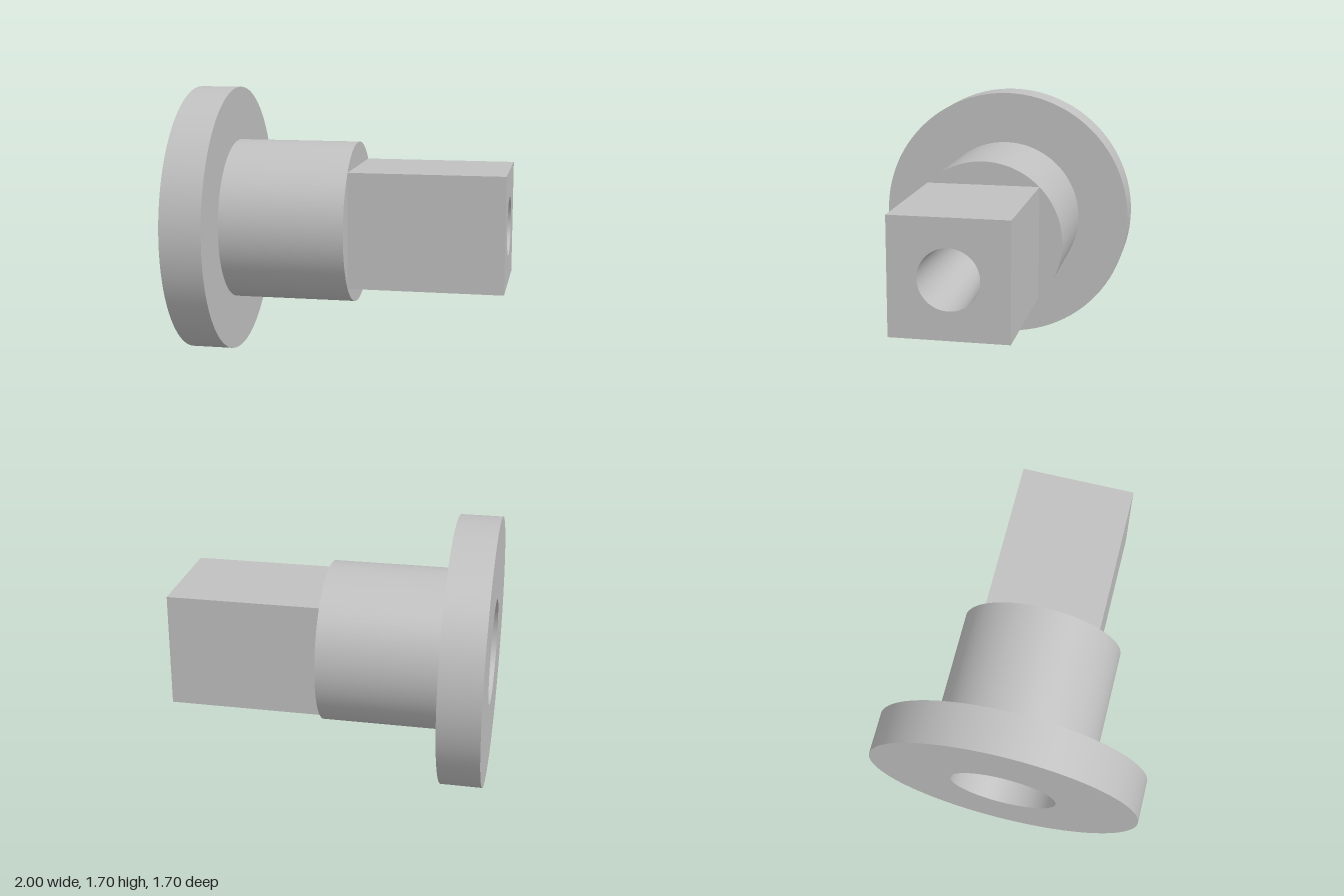
import * as THREE from 'three';

const steel = new THREE.MeshStandardMaterial({ color: 0xc0c0c0 });
steel.name = 'steel grey';

const AXIS_Y = 0.848;
const SQUARE = 0.361;      // half width of the square drive
const BORE_FRONT = 0.185;

// Revolves each [radius, x] segment separately so the edges between them stay sharp.
function turned(name, points) {
  const group = new THREE.Group();
  group.name = name;
  for (let i = 0; i < points.length - 1; i++) {
    const segment = [points[i], points[i + 1]].map(([r, x]) => new THREE.Vector2(r, x));
    const geometry = new THREE.LatheGeometry(segment, 96).rotateZ(-Math.PI / 2);
    const mesh = new THREE.Mesh(geometry, steel);
    mesh.name = `${name}Surface${i + 1}`;
    group.add(mesh);
  }
  return group;
}

export function createModel() {
  const model = new THREE.Group();
  model.name = 'flangedSquareShaft';
  model.position.y = AXIS_Y;

  // Wide flange, from the counterbore rim round to the root of the barrel
  model.add(turned('flange', [[0.333, -1], [0.848, -1], [0.848, -0.74], [0.51, -0.74]]));

  // Round barrel with the shoulder behind the square drive
  model.add(turned('barrel', [[0.51, -0.74], [0.51, 0.04], [0.3, 0.04]]));

  // Tapered through hole opening into a wide counterbore
  model.add(turned('bore', [[BORE_FRONT, 1], [0.135, -0.71], [0.333, -0.71], [0.333, -1]]));

  // Four flat sides of the square drive
  const radius = SQUARE * Math.SQRT2;
  const sides = new THREE.CylinderGeometry(radius, radius, 0.96, 4, 1, true, Math.PI / 4)
    .toNonIndexed();
  sides.computeVertexNormals();
  sides.rotateZ(-Math.PI / 2).translate(0.52, 0, 0);
  const drive = new THREE.Mesh(sides, steel);
  drive.name = 'squareDrive';
  model.add(drive);

  // Pierced end face of the square drive
  const face = new THREE.Shape([
    [-SQUARE, -SQUARE], [SQUARE, -SQUARE], [SQUARE, SQUARE], [-SQUARE, SQUARE],
  ].map(([x, y]) => new THREE.Vector2(x, y)));
  face.holes.push(new THREE.Path().absarc(0, 0, BORE_FRONT, 0, Math.PI * 2, true));
  const end = new THREE.Mesh(
    new THREE.ShapeGeometry(face, 48).rotateY(Math.PI / 2).translate(1, 0, 0), steel);
  end.name = 'driveEndFace';
  model.add(end);

  const root = new THREE.Group();
  root.name = 'shaftAssembly';
  root.add(model);
  return root;
}
